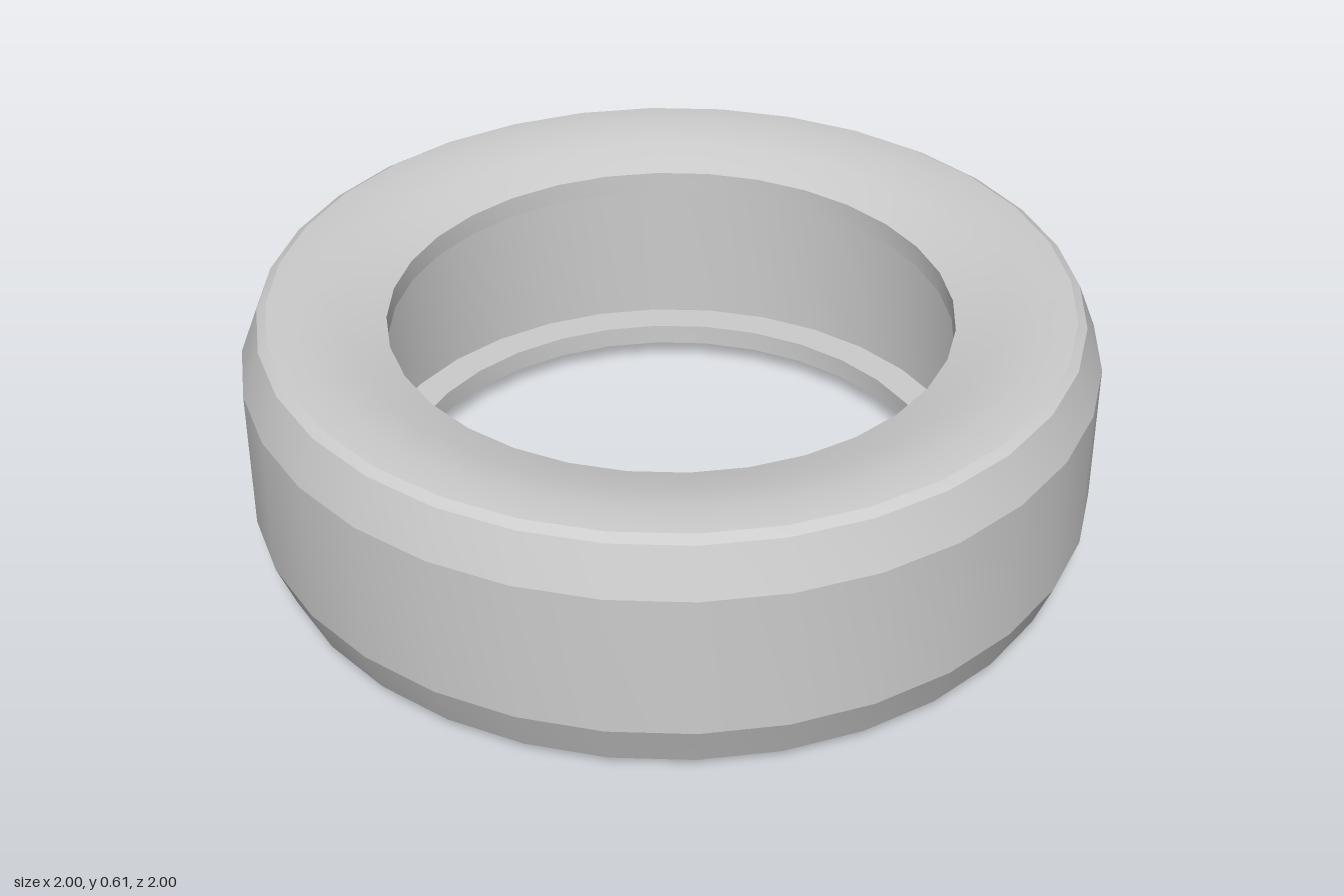
import * as THREE from 'three';
import { toCreasedNormals } from 'three/addons/utils/BufferGeometryUtils.js';

const HEIGHT = 0.61;
const SEGMENTS = 32;

export function createModel() {
  const group = new THREE.Group();
  group.name = 'tire';

  // Upper half of the cross-section [radius, y], from tread over the sidewall into the cavity
  const upper = [
    [1.0, 0.48], // tread edge
    [0.957, 0.59], // shoulder chamfer
    [0.935, 0.604], // small bevel
    [0.86, 0.61], // crown of the sidewall
    [0.76, 0.592],
    [0.66, 0.56], // bead, outer edge
    [0.66, 0.508], // bead, inner edge
    [0.743, 0.508], // cavity wall
  ];

  // Mirror it for the lower half and close the loop
  const lower = upper.map(([r, y]) => [r, HEIGHT - y]).reverse();
  const profile = [...lower, ...upper, lower[0]].map(([r, y]) => new THREE.Vector2(r, y));

  const geometry = toCreasedNormals(new THREE.LatheGeometry(profile, SEGMENTS), 0.3);
  const tire = new THREE.Mesh(geometry, new THREE.MeshStandardMaterial({ color: 0xcccccc }));
  tire.name = 'tireBody';
  group.add(tire);

  return group;
}
